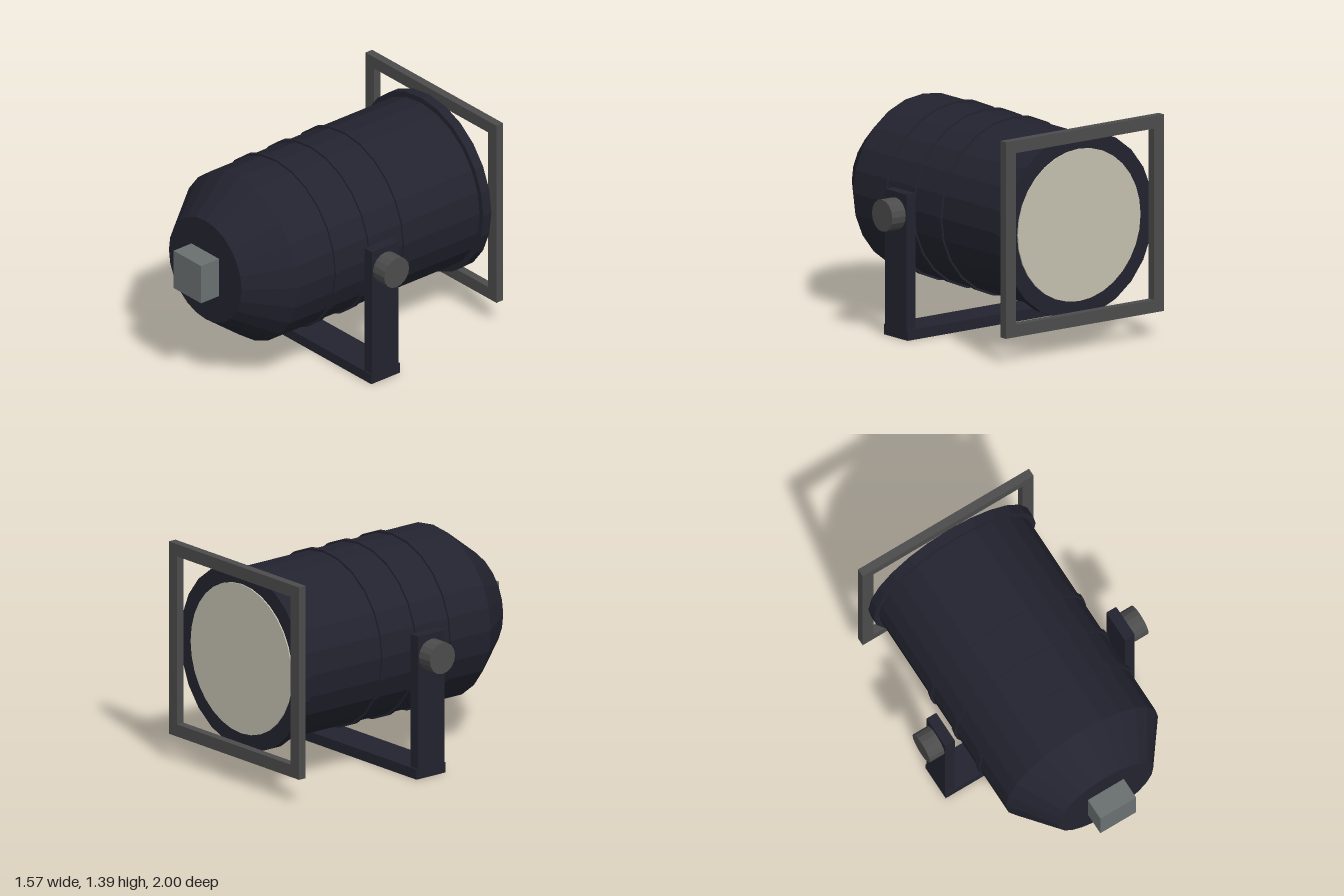
import * as THREE from 'three';

const CY = 0.775; // height of the lamp axis

function material(name, color) {
  const m = new THREE.MeshStandardMaterial({ color, flatShading: true });
  m.name = name;
  return m;
}

export function createModel() {
  const group = new THREE.Group();
  const black = material('housingBlack', 0x232330);
  const grey = material('frameGrey', 0x4c4c4c);
  const metal = material('socketGrey', 0x6a7070);
  const cream = material('lensCream', 0xc4c0b0);

  const add = (name, geometry, mat, x, y, z) => {
    const mesh = new THREE.Mesh(geometry, mat);
    mesh.name = name;
    mesh.position.set(x, y, z);
    group.add(mesh);
    return mesh;
  };
  const box = (name, mat, w, h, d, x, y, z) =>
    add(name, new THREE.BoxGeometry(w, h, d), mat, x, y, z);
  // Cylinder lying along z between z0 and z1
  const drum = (name, mat, r0, r1, z0, z1, sides = 24) =>
    add(name, new THREE.CylinderGeometry(r1, r0, z1 - z0, sides).rotateX(Math.PI / 2),
      mat, 0, CY, (z0 + z1) / 2);

  // Housing: can, tapered end, rim and ribs
  drum('can', black, 0.545, 0.545, -0.87, 0.585);
  drum('taperedEnd', black, 0.545, 0.34, 0.585, 0.857);
  drum('rim', black, 0.58, 0.58, -0.935, -0.87);
  for (const z of [-0.272, 0, 0.272]) drum('rib', black, 0.558, 0.558, z - 0.016, z + 0.016);

  // Lens and cable socket
  drum('lens', cream, 0.475, 0.475, -0.943, -0.93, 32);
  box('socket', metal, 0.258, 0.258, 0.148, 0, CY, 0.926);

  // Square filter frame
  const frame = new THREE.Shape();
  frame.moveTo(-0.613, -0.613).lineTo(0.613, -0.613).lineTo(0.613, 0.613).lineTo(-0.613, 0.613).closePath();
  const opening = new THREE.Path();
  opening.moveTo(-0.535, -0.535).lineTo(-0.535, 0.535).lineTo(0.535, 0.535).lineTo(0.535, -0.535).closePath();
  frame.holes.push(opening);
  add('filterFrame', new THREE.ExtrudeGeometry(frame, { depth: 0.053, bevelEnabled: false }),
    grey, 0, CY, -1);

  // Yoke with side knobs
  box('yokeBase', black, 1.36, 0.065, 0.23, 0, 0.0325, -0.005);
  for (const side of [-1, 1]) {
    box('yokeArm', black, 0.07, 0.875, 0.212, side * 0.645, 0.4725, -0.003);
    add('knob', new THREE.CylinderGeometry(0.1, 0.1, 0.115, 16).rotateZ(Math.PI / 2),
      grey, side * 0.7275, CY, -0.003);
  }
  return group;
}
